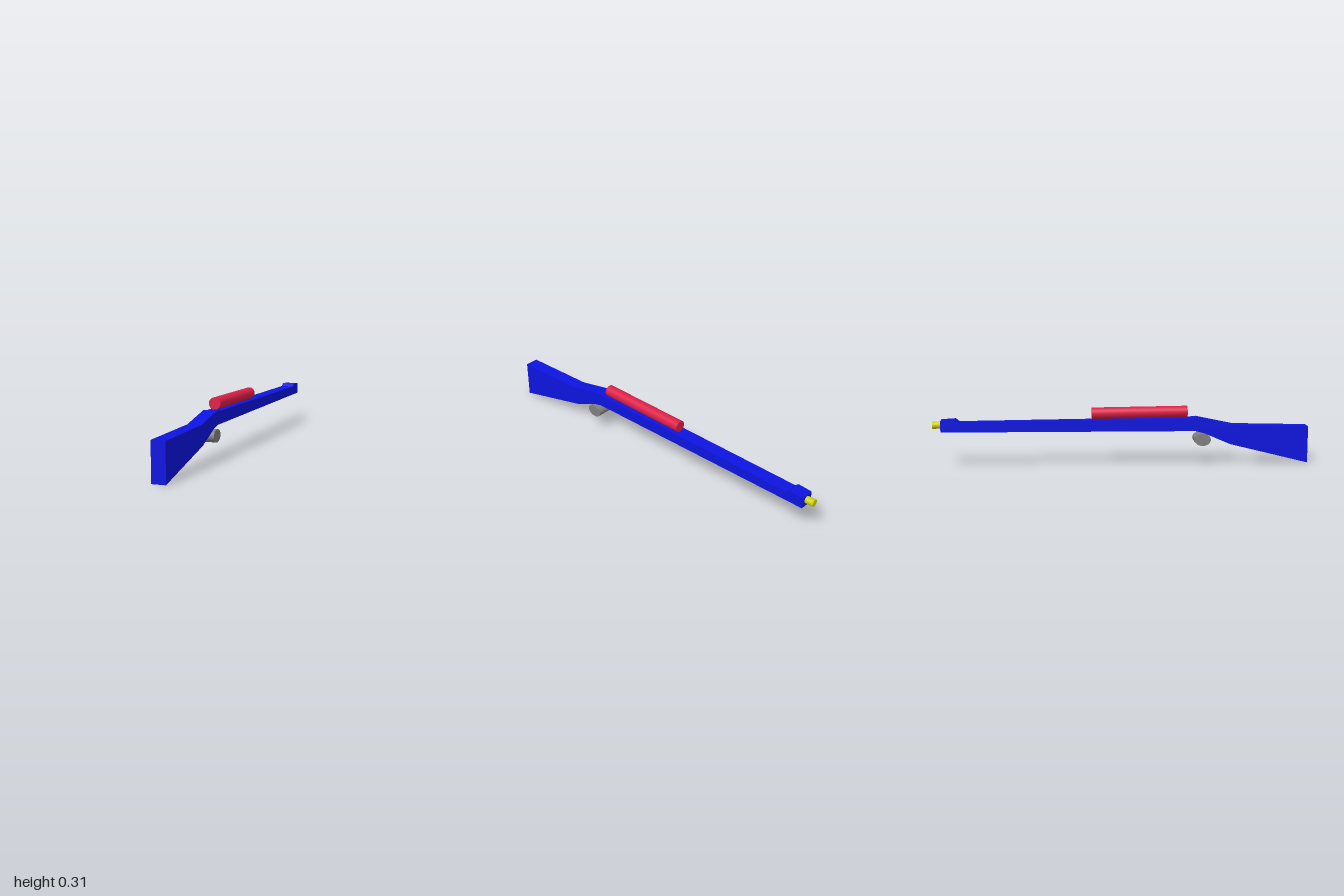
import * as THREE from 'three';

const paint = (color) => new THREE.MeshStandardMaterial({ color });

function addPart(group, name, geometry, material) {
  const mesh = new THREE.Mesh(geometry, material);
  mesh.name = name;
  group.add(mesh);
  return mesh;
}

// Extrudes a side outline of [z, y] points across x
function sideProfile(points, xMin, xMax) {
  const shape = new THREE.Shape(points.map(([z, y]) => new THREE.Vector2(-z, y)));
  const geometry = new THREE.ExtrudeGeometry(shape, { depth: xMax - xMin, bevelEnabled: false });
  return geometry.rotateY(Math.PI / 2).translate(xMin, 0, 0);
}

export function createModel() {
  const group = new THREE.Group();
  group.name = 'toyRifle';
  const blue = paint(0x0d14e0);

  // Stock, grip, barrel and raised front sight in one outline
  addPart(group, 'stockAndBarrel', sideProfile([
    [1, 0], [0.58, 0.105], [0.44, 0.165], [0.39, 0.178],
    [-0.955, 0.185], [-0.955, 0.245], [-0.88, 0.25], [-0.86, 0.234],
    [0.34, 0.244], [0.4, 0.25], [0.6, 0.208], [1, 0.198],
  ], -0.04, 0.032), blue);

  // Scope tube, tilted slightly down toward the muzzle
  const scope = addPart(group, 'scope',
    new THREE.CylinderGeometry(0.031, 0.031, 0.51, 32).rotateX(Math.PI / 2), paint(0xdc1f47));
  scope.position.set(0, 0.276, 0.095);
  scope.rotation.x = -0.01;

  // Muzzle tip, its rear just breaking through the barrel top
  const muzzle = addPart(group, 'muzzle',
    new THREE.CylinderGeometry(0.019, 0.019, 0.13, 24).rotateX(Math.PI / 2), paint(0xd0d000));
  muzzle.position.set(-0.003, 0.219, -0.935);

  // Oval trigger drum lying across the body
  const trigger = addPart(group, 'triggerDrum',
    new THREE.CylinderGeometry(1, 1, 0.092, 32).rotateZ(Math.PI / 2).scale(1, 0.033, 0.044),
    paint(0x808080));
  trigger.position.set(0, 0.131, 0.43);

  return group;
}
